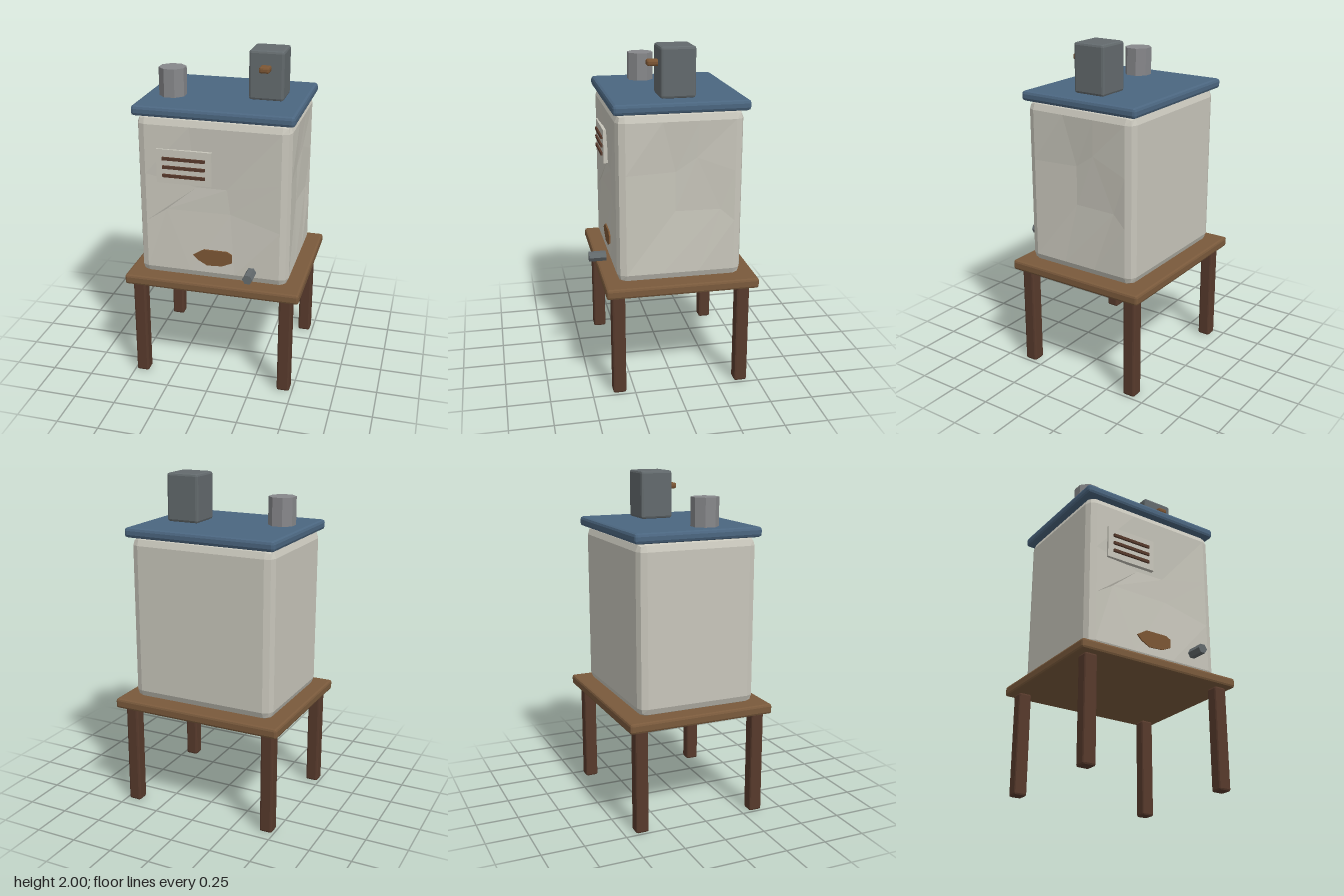
import * as THREE from 'three';

const mat = (name, color) => {
  const m = new THREE.MeshStandardMaterial({ color });
  m.name = name;
  return m;
};

// Box with faceted rounded edges, given by its min and max corners.
// n is the number of divisions per face; adjust(p, t) may push vertices around.
function bevelBox(min, max, r, n = 3, adjust = null) {
  const geo = new THREE.BoxGeometry(2, 2, 2, n, n, n);
  const pos = geo.attributes.position;
  const inner = 1 - 2 / n;
  const t = new THREE.Vector3(), p = new THREE.Vector3(), dir = new THREE.Vector3();
  for (let i = 0; i < pos.count; i++) {
    t.fromBufferAttribute(pos, i);
    ['x', 'y', 'z'].forEach((a, k) => {
      const half = (max[k] - min[k]) / 2 - r;
      p[a] = (min[k] + max[k]) / 2 + half * THREE.MathUtils.clamp(t[a] / inner, -1, 1);
      dir[a] = Math.abs(t[a]) > 0.99 ? Math.sign(t[a]) : 0;
    });
    p.addScaledVector(dir.normalize(), r);
    if (adjust) adjust(p, t);
    pos.setXYZ(i, p.x, p.y, p.z);
  }
  const flat = geo.toNonIndexed();
  flat.computeVertexNormals();
  return flat;
}

// Faceted prism with flat side normals
function prism(radius, length, sides, turn) {
  const geo = new THREE.CylinderGeometry(radius, radius, length, sides).toNonIndexed();
  geo.rotateY(turn);
  geo.computeVertexNormals();
  return geo;
}

export function createModel() {
  const paint = mat('weatheredPaint', 0xc8c6bb);
  const blue = mat('bluePaint', 0x4b6680);
  const wood = mat('wood', 0x7a5a3c);
  const darkWood = mat('darkWood', 0x573a2c);
  const rust = mat('rust', 0x7c5634);
  const metal = mat('darkMetal', 0x636a6d);
  const pipe = mat('paleMetal', 0x87888b);

  const model = new THREE.Group();
  const add = (name, geo, material) => {
    const mesh = new THREE.Mesh(geo, material);
    mesh.name = name;
    model.add(mesh);
    return mesh;
  };

  // Stand: slab and four legs
  add('tableTop', bevelBox([-0.528, 0.62, -0.478], [0.528, 0.68, 0.413], 0.014), wood);
  for (const x of [-0.45, 0.445]) {
    for (const z of [-0.395, 0.34]) {
      add('leg', bevelBox([x - 0.039, 0, z - 0.039], [x + 0.039, 0.62, z + 0.039], 0.012), darkWood);
    }
  }

  // Tank body, with shallow dents on the front and on its left side
  const dent = (p, t) => {
    const mid = (v) => Math.abs(v) < 0.3;
    if (t.z > 0.99 && mid(t.x) && mid(t.y)) {
      p.x = t.x < 0 ? (t.y < 0 ? -0.28 : -0.1) : (t.y < 0 ? 0.1 : 0.08);
      p.y = t.y < 0 ? 1.1 : 1.25;
      p.z -= t.x < 0 && t.y < 0 ? 0.012 : 0.02;
    }
    if (t.x > 0.99 && mid(t.z) && mid(t.y)) {
      p.z = t.z > 0 ? 0 : (t.y < 0 ? -0.26 : -0.12);
      p.y = t.y < 0 ? 1.09 : (t.z > 0 ? 1.32 : 1.4);
      p.x -= t.z > 0 ? 0.022 : 0.012;
    }
  };
  add('tankBody', bevelBox([-0.45, 0.675, -0.39], [0.445, 1.66, 0.335], 0.05, 5, dent), paint);

  // Lid
  add('lid', bevelBox([-0.47, 1.657, -0.418], [0.465, 1.716, 0.353], 0.018), blue);

  // Chimney pipe
  add('chimney', prism(0.081, 0.17, 8, Math.PI / 8), pipe).position.set(-0.307, 1.796, 0.068);

  // Control box with its small handle
  add('controlBox', bevelBox([0.141, 1.716, -0.132], [0.344, 2.0, 0.068], 0.014), metal);
  add('handle', bevelBox([0.211, 1.886, 0.05], [0.272, 1.921, 0.13], 0.011), rust);

  // Vent panel and slats
  const panel = new THREE.BoxGeometry(0.325, 0.202, 0.025);
  add('ventPanel', panel, paint).position.set(-0.165, 1.372, 0.3325);
  for (const y of [1.318, 1.369, 1.42]) {
    add('ventSlat', new THREE.BoxGeometry(0.25, 0.018, 0.012), darkWood).position.set(-0.165, y, 0.35);
  }

  // Rust patch near the bottom
  const outline = [[-0.12, 0.83], [-0.09, 0.8], [-0.035, 0.77], [0.055, 0.775], [0.115, 0.802],
    [0.115, 0.853], [0.085, 0.87], [-0.055, 0.87]];
  const shape = new THREE.Shape(outline.map(([x, y]) => new THREE.Vector2(x, y)));
  add('rustPatch', new THREE.ExtrudeGeometry(shape, { depth: 0.009, bevelEnabled: false }), rust)
    .position.z = 0.329;

  // Drain spout
  const spout = add('drainSpout', prism(0.03, 0.1, 6, Math.PI / 6), metal);
  spout.rotation.x = Math.PI / 2;
  spout.position.set(0.241, 0.78, 0.426);
  spout.geometry.rotateY(Math.PI / 3);

  return model;
}
